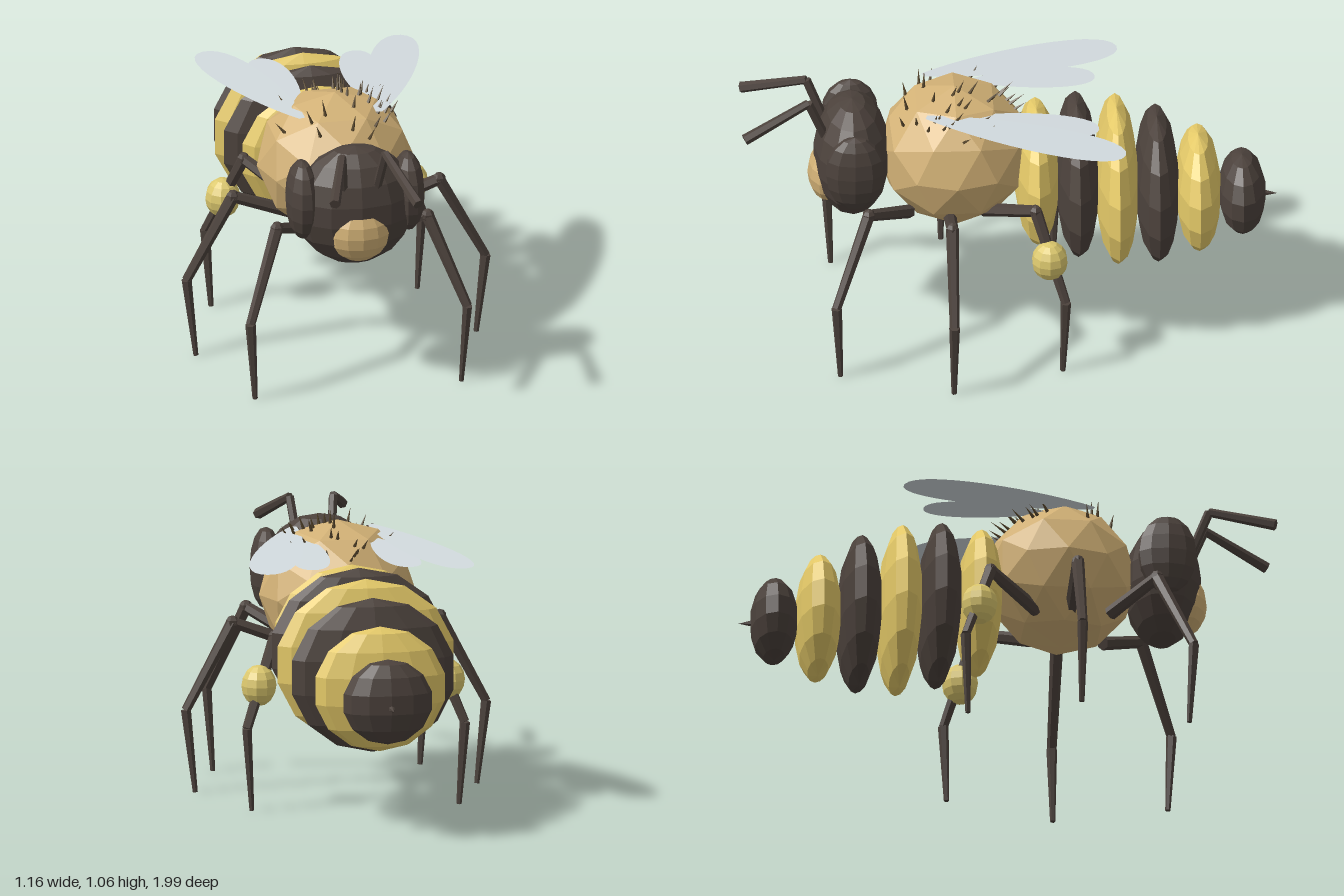
import * as THREE from 'three';

const mat = (color, side = THREE.FrontSide) =>
  new THREE.MeshStandardMaterial({ color, side, flatShading: true });
const DARK = mat(0x4c423c), YELLOW = mat(0xe4c968), TAN = mat(0xd2b176),
  POLLEN = mat(0xdcc86e), HAIR = mat(0x5c4b30), WING = mat(0xd3dbdf, THREE.DoubleSide);

const V = (x, y, z) => new THREE.Vector3(x, y, z);

function add(parent, name, geometry, material) {
  const mesh = new THREE.Mesh(geometry, material);
  mesh.name = name;
  parent.add(mesh);
  return mesh;
}

// Faceted ellipsoid from centre and radii
function ellipsoid(parent, name, material, centre, radii, geometry = new THREE.SphereGeometry(1, 12, 7)) {
  const mesh = add(parent, name, geometry, material);
  mesh.position.set(...centre);
  mesh.scale.set(...radii);
  return mesh;
}

// Tapered six-sided rod between two points
function rod(parent, name, material, a, b, ra, rb, sides = 6) {
  const dir = b.clone().sub(a);
  const mesh = add(parent, name, new THREE.CylinderGeometry(rb, ra, dir.length(), sides), material);
  mesh.position.copy(a).add(b).multiplyScalar(0.5);
  mesh.quaternion.setFromUnitVectors(V(0, 1, 0), dir.normalize());
  return mesh;
}

// Flat wing blade: narrow at the root, broad and round near the tip
function wing(parent, name, root, tip, width) {
  const length = root.distanceTo(tip);
  const shape = new THREE.Shape();
  shape.moveTo(-0.012, 0);
  shape.bezierCurveTo(-width * 0.6, length * 0.35, -width * 0.8, length, 0, length);
  shape.bezierCurveTo(width * 0.8, length, width * 0.6, length * 0.35, 0.012, 0);
  const mesh = add(parent, name, new THREE.ShapeGeometry(shape, 14), WING);
  const along = tip.clone().sub(root).normalize();
  const normal = V(0, 1, 0).addScaledVector(along, -along.y).normalize();
  mesh.quaternion.setFromRotationMatrix(
    new THREE.Matrix4().makeBasis(along.clone().cross(normal), along, normal));
  mesh.position.copy(root);
}

function seeded(seed) {
  return () => (seed = (seed * 16807) % 2147483647) / 2147483647;
}

export function createModel() {
  const bee = new THREE.Group();
  bee.name = 'bee';

  // Thorax, head and face
  const thoraxCentre = V(0, 0.74, 0.2), thoraxRadii = V(0.295, 0.275, 0.285);
  ellipsoid(bee, 'thorax', TAN, thoraxCentre.toArray(), thoraxRadii.toArray(),
    new THREE.IcosahedronGeometry(1, 1));
  ellipsoid(bee, 'head', DARK, [0, 0.735, 0.58], [0.23, 0.235, 0.145], new THREE.SphereGeometry(1, 12, 9));
  ellipsoid(bee, 'face', TAN, [0, 0.655, 0.665], [0.117, 0.112, 0.08], new THREE.SphereGeometry(1, 12, 8));

  // Abdomen bands: y, z, rx, ry, rz
  const abdomen = new THREE.Group();
  abdomen.name = 'abdomen';
  bee.add(abdomen);
  [
    [0.63, -0.105, 0.295, 0.27, 0.085],
    [0.612, -0.255, 0.335, 0.303, 0.082],
    [0.587, -0.402, 0.34, 0.313, 0.082],
    [0.565, -0.552, 0.312, 0.29, 0.083],
    [0.54, -0.705, 0.25, 0.235, 0.086],
    [0.52, -0.868, 0.17, 0.16, 0.09],
  ].forEach(([y, z, rx, ry, rz], i) =>
    ellipsoid(abdomen, 'abdomenBand' + (i + 1), i % 2 ? DARK : YELLOW, [0, y, z], [rx, ry, rz]));
  rod(abdomen, 'stinger', DARK, V(0, 0.51, -0.93), V(0, 0.505, -1), 0.018, 0, 6);

  // Leg joints on the left side: body, knee, ankle, foot
  const legs = {
    frontLeg: [[0.13, 0.55, 0.37], [0.285, 0.635, 0.53], [0.41, 0.31, 0.655], [0.39, 0, 0.64]],
    middleLeg: [[0.13, 0.54, 0.225], [0.39, 0.635, 0.225], [0.565, 0.31, 0.225], [0.53, 0, 0.225]],
    rearLeg: [[0.13, 0.55, 0.1], [0.285, 0.635, -0.09], [0.41, 0.31, -0.195], [0.39, 0, -0.185]],
  };

  for (const side of [1, -1]) {
    const label = side > 0 ? 'left' : 'right';
    const P = ([x, y, z]) => V(x * side, y, z);

    ellipsoid(bee, label + 'Eye', DARK, [0.2 * side, 0.77, 0.578], [0.062, 0.155, 0.112],
      new THREE.SphereGeometry(1, 10, 8));

    // Legs
    for (const [name, joints] of Object.entries(legs)) {
      const leg = new THREE.Group();
      leg.name = label + name[0].toUpperCase() + name.slice(1);
      bee.add(leg);
      const [body, knee, ankle, foot] = joints.map(P);
      rod(leg, 'upperLeg', DARK, body, knee, 0.026, 0.022);
      rod(leg, 'middleLegPart', DARK, knee, ankle, 0.024, 0.018);
      rod(leg, 'lowerLeg', DARK, ankle, foot, 0.02, 0.01);
      ellipsoid(leg, 'kneeJoint', DARK, knee.toArray(), [0.026, 0.026, 0.026], new THREE.SphereGeometry(1, 6, 5));
    }
    ellipsoid(bee, label + 'PollenBasket', POLLEN, [0.355 * side, 0.462, -0.138], [0.066, 0.077, 0.068],
      new THREE.SphereGeometry(1, 10, 8));

    // Antenna with an elbow
    const antenna = new THREE.Group();
    antenna.name = label + 'Antenna';
    bee.add(antenna);
    const elbow = P([0.082, 1.005, 0.745]);
    rod(antenna, 'antennaBase', DARK, P([0.062, 0.83, 0.675]), elbow, 0.017, 0.017);
    rod(antenna, 'antennaTip', DARK, elbow, P([0.158, side > 0 ? 0.9 : 0.93, 0.985]), 0.016, 0.021);

    // Wings
    wing(bee, label + 'Forewing', P([0.145, 0.972, 0.31]), P([0.375, 0.93, -0.42]), 0.17);
    wing(bee, label + 'Hindwing', P([0.125, 0.955, 0.13]), P([0.185, 0.925, -0.33]), 0.13);
  }

  // Short hairs over the top of the thorax, swept backwards
  const fuzz = new THREE.Group();
  fuzz.name = 'thoraxHairs';
  bee.add(fuzz);
  const random = seeded(41);
  for (let i = 0; i < 36; i++) {
    const angle = random() * Math.PI * 2, tilt = Math.sqrt(random()) * 0.95;
    const n = V(Math.sin(tilt) * Math.cos(angle), Math.cos(tilt), Math.sin(tilt) * Math.sin(angle));
    const base = n.clone().multiply(thoraxRadii).multiplyScalar(0.95).add(thoraxCentre);
    const tip = base.clone().addScaledVector(n.add(V(0, 0.2, -0.45)).normalize(), 0.045 + random() * 0.03);
    rod(fuzz, 'hair', HAIR, base, tip, 0.007, 0, 4);
  }
  return bee;
}
